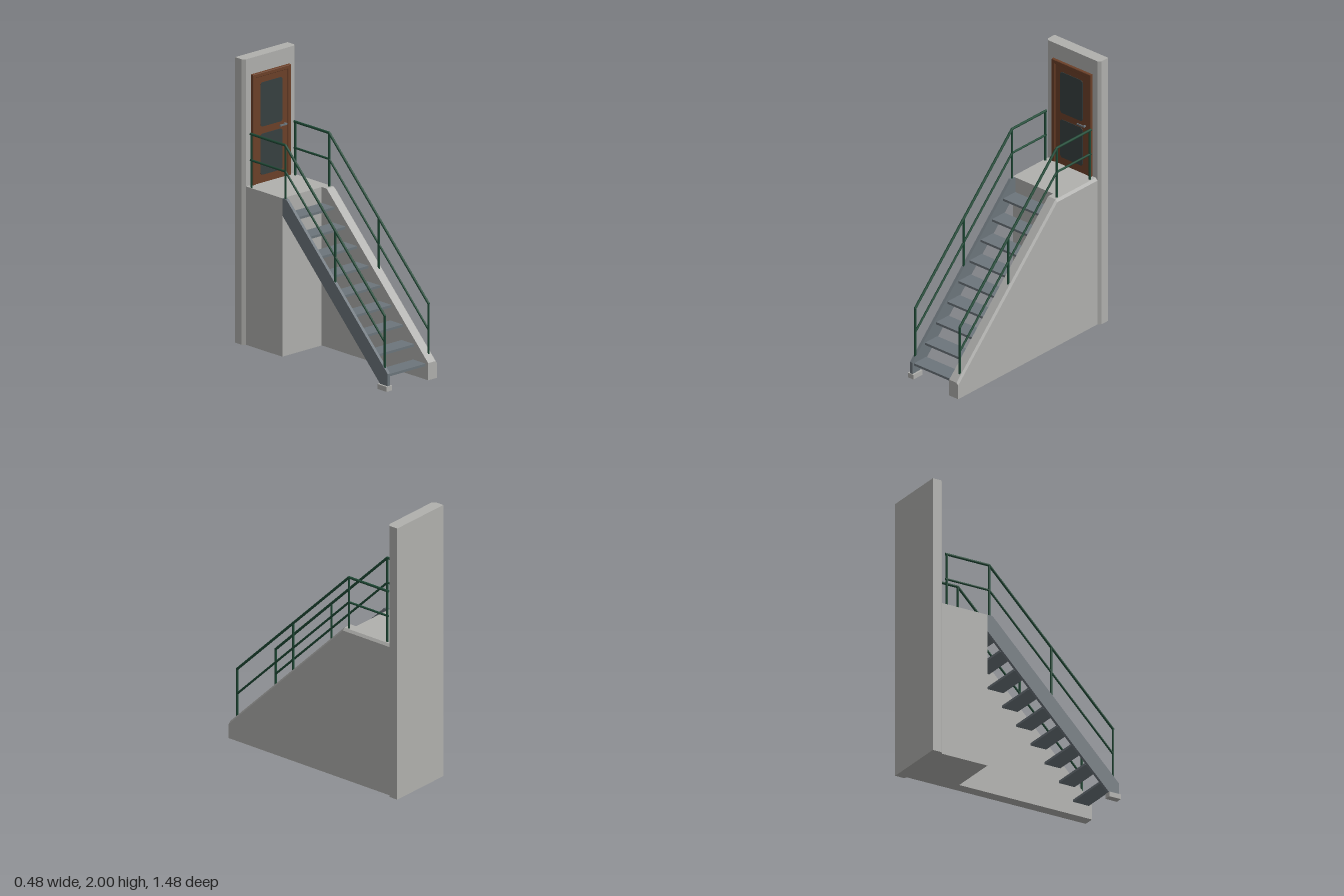
import * as THREE from 'three';
import { ConvexGeometry } from 'three/addons/geometries/ConvexGeometry.js';

export function createModel() {
  const group = new THREE.Group();
  const material = (name, color) => {
    const m = new THREE.MeshStandardMaterial({ color });
    m.name = name;
    return m;
  };
  const concrete = material('concrete', 0xb0b0ad);
  const steel = material('steel', 0x6c757b);
  const green = material('greenPaint', 0x1f4a36);
  const wood = material('wood', 0x6b4029);
  const glass = material('darkGlass', 0x374040);

  const add = (name, geometry, mat, parent = group) => {
    const mesh = new THREE.Mesh(geometry, mat);
    mesh.name = name;
    parent.add(mesh);
    return mesh;
  };
  // Box given by its limits on each axis
  const box = (name, mat, [x0, x1], [y0, y1], [z0, z1], parent) => {
    const mesh = add(name, new THREE.BoxGeometry(x1 - x0, y1 - y0, z1 - z0), mat, parent);
    mesh.position.set((x0 + x1) / 2, (y0 + y1) / 2, (z0 + z1) / 2);
    return mesh;
  };
  const shapeOf = (points) => new THREE.Shape(points.map(([a, b]) => new THREE.Vector2(a, b)));

  // Back wall: plan with chamfered front corners, extruded upward
  const plan = shapeOf([[-0.24, 0.74], [-0.24, 0.675], [-0.22, 0.655], [0.22, 0.655], [0.24, 0.675], [0.24, 0.74]]);
  const wall = new THREE.ExtrudeGeometry(plan, { depth: 2, bevelEnabled: false });
  wall.rotateX(-Math.PI / 2);
  add('backWall', wall, concrete);

  // Landing pier
  box('landingPier', concrete, [-0.22, 0.14], [0, 1.11], [-0.655, -0.3]);

  // Sloping side wall with a chamfered outer top edge
  const corners = [];
  for (const [x, drop] of [[0.14, 0], [0.205, 0], [0.22, 0.017]]) {
    for (const [z, y] of [[0.74, 0.12 - drop], [-0.252, 1.11 - drop], [-0.655, 1.11 - drop], [-0.655, 0], [0.74, 0]]) {
      corners.push(new THREE.Vector3(x, y, z));
    }
  }
  add('sideWall', new ConvexGeometry(corners), concrete);

  // Steel stringer on the open side, standing on a small footing
  const side = shapeOf([[0.73, 0.035], [0.73, 0.12], [-0.26, 1.11], [-0.3, 1.11], [-0.3, 0.99], [0.655, 0.035]]);
  const stringer = new THREE.ExtrudeGeometry(side, { depth: 0.022, bevelEnabled: false });
  stringer.rotateY(-Math.PI / 2);
  stringer.translate(-0.198, 0, 0);
  add('stringer', stringer, steel);
  box('footing', concrete, [-0.235, -0.185], [0, 0.035], [0.645, 0.735]);

  // Open treads
  for (let i = 0; i < 9; i++) {
    const y = 0.111 * (i + 1);
    const z = 0.715 - 0.1115 * i;
    box('tread', steel, [-0.2, 0.14], [y - 0.017, y], [z - 0.123, z]);
  }

  // Handrails, the same on both sides
  const bar = (name, [y0, z0], [y1, z1], radius, parent) => {
    const a = new THREE.Vector3(0, y0, z0);
    const b = new THREE.Vector3(0, y1, z1);
    const mesh = add(name, new THREE.CylinderGeometry(radius, radius, a.distanceTo(b), 12), green, parent);
    mesh.position.copy(a).lerp(b, 0.5);
    mesh.quaternion.setFromUnitVectors(new THREE.Vector3(0, 1, 0), b.sub(a).normalize());
  };
  for (const [name, x] of [['leftHandrail', 0.19], ['rightHandrail', -0.209]]) {
    const rail = new THREE.Group();
    rail.name = name;
    rail.position.x = x;
    for (const [z, y0, y1] of [[0.69, 0.15, 0.515], [0.205, 0.64, 1], [-0.28, 1.1, 1.483], [-0.612, 1.1, 1.483]]) {
      bar('post', [y0, z], [y1, z], 0.008, rail);
    }
    for (const [label, yLow, yHigh, r] of [['topRail', 0.515, 1.483, 0.009], ['midRail', 0.333, 1.3, 0.0075]]) {
      bar(label, [yLow, 0.69], [yHigh, -0.28], r, rail);
      bar(label, [yHigh, -0.28], [yHigh, -0.622], r, rail);
      // Rounded joints at the bend and the lower end
      for (const [y, z] of [[yLow, 0.69], [yHigh, -0.28]]) {
        add('joint', new THREE.SphereGeometry(r, 12, 8), green, rail).position.set(0, y, z);
      }
    }
    group.add(rail);
  }

  // Door: frame, leaf, two rounded panes and a lever handle
  const door = new THREE.Group();
  door.name = 'door';
  group.add(door);
  const frame = shapeOf([[-0.172, 1.11], [-0.148, 1.11], [-0.148, 1.858], [0.148, 1.858], [0.148, 1.11], [0.172, 1.11], [0.172, 1.883], [-0.172, 1.883]]);
  add('doorFrame', new THREE.ExtrudeGeometry(frame, {
    depth: 0.014, bevelThickness: 0.006, bevelSize: 0.004, bevelOffset: -0.002, bevelSegments: 2,
  }), wood, door).position.z = -0.655;
  box('doorLeaf', wood, [-0.148, 0.148], [1.11, 1.858], [-0.655, -0.642], door);

  const pane = (y0, y1) => {
    const w = 0.1, r = 0.02;
    const s = new THREE.Shape();
    s.absarc(w - r, y0 + r, r, -Math.PI / 2, 0);
    s.absarc(w - r, y1 - r, r, 0, Math.PI / 2);
    s.absarc(r - w, y1 - r, r, Math.PI / 2, Math.PI);
    s.absarc(r - w, y0 + r, r, Math.PI, Math.PI * 1.5);
    add('doorPane', new THREE.ExtrudeGeometry(s, { depth: 0.003, bevelEnabled: false, curveSegments: 6 }), glass, door).position.z = -0.642;
  };
  pane(1.165, 1.453);
  pane(1.503, 1.813);

  box('handleLever', steel, [0.063, 0.13], [1.474, 1.485], [-0.629, -0.622], door);
  box('handleStem', steel, [0.117, 0.128], [1.474, 1.485], [-0.643, -0.628], door);

  return group;
}
